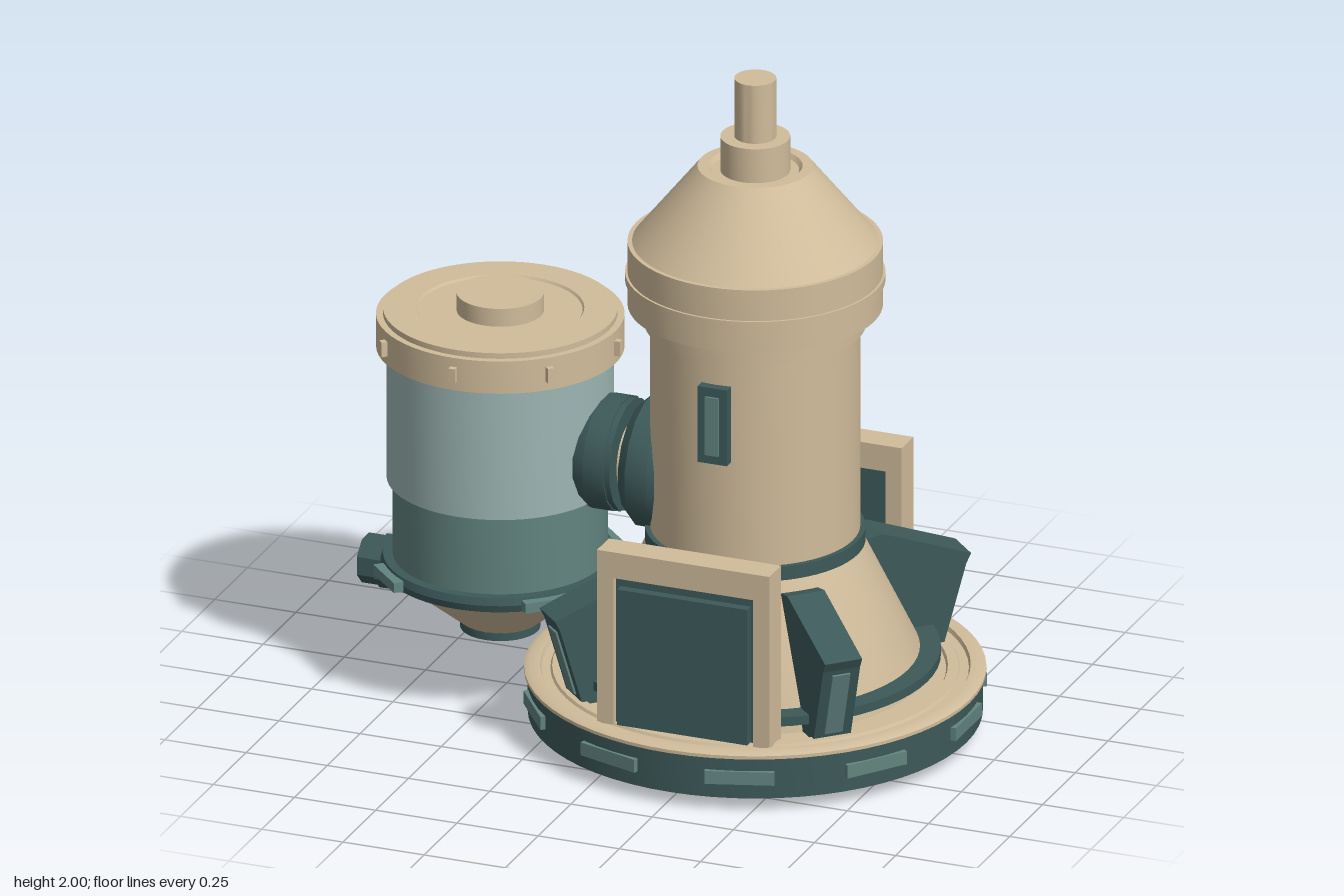
import * as THREE from 'three';
import { toCreasedNormals } from 'three/addons/utils/BufferGeometryUtils.js';

const paint = (name, color) => {
  const m = new THREE.MeshStandardMaterial({ color });
  m.name = name;
  return m;
};

export function createModel() {
  const tan = paint('tan', 0xd0bc9b);
  const dark = paint('darkTeal', 0x3d5959);
  const mid = paint('midTeal', 0x62847f);
  const light = paint('paleTeal', 0x9db6b3);

  const model = new THREE.Group();
  const group = (name, x = 0, parent = model) => {
    const g = new THREE.Group();
    g.name = name;
    g.position.x = x;
    parent.add(g);
    return g;
  };
  const add = (parent, name, geo, mat, x = 0, y = 0, z = 0) => {
    const mesh = new THREE.Mesh(geo, mat);
    mesh.name = name;
    mesh.position.set(x, y, z);
    parent.add(mesh);
    return mesh;
  };
  const box = (parent, name, mat, w, h, d, x, y, z) =>
    add(parent, name, new THREE.BoxGeometry(w, h, d), mat, x, y, z);
  // Turned part from [radius, height] points, listed bottom to top
  const turned = (parent, name, mat, points, sides = 64) =>
    add(parent, name, toCreasedNormals(new THREE.LatheGeometry(
      points.map(([r, y]) => new THREE.Vector2(r, y)), sides), 0.45), mat);
  // Repeats a part around the vertical axis; outward is +z in each copy
  const around = (parent, name, count, start, build) => {
    for (let i = 0; i < count; i++) {
      const g = group(name, 0, parent);
      g.rotation.y = start + i * Math.PI * 2 / count;
      build(g);
    }
  };

  // ---- Round base ----
  const tower = group('tower', 0.265);
  turned(tower, 'baseDrum', dark, [[0, 0.04], [0.65, 0.04], [0.65, 0.165], [0, 0.165]]);
  turned(tower, 'baseDeck', tan, [[0.645, 0.16], [0.66, 0.165], [0.66, 0.175], [0.645, 0.182],
    [0.615, 0.182], [0.61, 0.17], [0.585, 0.17], [0.58, 0.178], [0.55, 0.178], [0.545, 0.168], [0, 0.168]]);
  around(tower, 'rimPlate', 10, Math.PI / 10, g =>
    box(g, 'rimPlateBlock', mid, 0.2, 0.04, 0.035, 0, 0.105, 0.64));
  around(tower, 'foot', 4, Math.PI / 4, g => {
    const foot = add(g, 'footBlock', new THREE.CylinderGeometry(0.1, 0.075, 0.045, 4, 1), dark, 0, 0.0225, 0.43);
    foot.geometry.rotateY(Math.PI / 4);
    foot.scale.z = 0.7;
  });

  // ---- Tower body ----
  turned(tower, 'skirtCone', tan, [[0.485, 0.165], [0.47, 0.24], [0.31, 0.57]]);
  turned(tower, 'skirtRing', dark, [[0.46, 0.21], [0.53, 0.21], [0.53, 0.238], [0.46, 0.238]]);
  turned(tower, 'collar', dark, [[0.29, 0.57], [0.315, 0.57], [0.315, 0.612], [0.29, 0.612]]);
  turned(tower, 'column', tan, [[0.3, 0.6], [0.3, 1.24], [0.317, 1.24], [0.317, 1.285], [0.3, 1.285], [0.3, 1.31]]);
  turned(tower, 'head', tan, [[0.29, 1.3], [0.365, 1.3], [0.365, 1.375], [0.372, 1.375], [0.372, 1.4],
    [0.365, 1.4], [0.365, 1.495], [0.352, 1.495], [0.165, 1.728], [0.135, 1.728], [0.125, 1.715], [0, 1.715]]);
  turned(tower, 'neck', tan, [[0.1, 1.71], [0.1, 1.82], [0, 1.82]], 48);
  turned(tower, 'topPipe', tan, [[0.06, 1.81], [0.06, 2], [0, 2]], 40);

  // Sight window on the front
  box(tower, 'windowFrame', dark, 0.09, 0.235, 0.05, 0, 1.048, 0.303);
  box(tower, 'windowPane', mid, 0.042, 0.18, 0.008, 0, 1.048, 0.331);

  // ---- Front and back doors ----
  around(tower, 'door', 2, 0, g => {
    for (const s of [-1, 1]) box(g, 'doorPost', tan, 0.05, 0.535, 0.09, s * 0.24, 0.4425, 0.505);
    box(g, 'doorLintel', tan, 0.43, 0.08, 0.09, 0, 0.67, 0.505);
    box(g, 'doorLeaf', dark, 0.43, 0.455, 0.05, 0, 0.4025, 0.505);
    box(g, 'doorPanel', dark, 0.4, 0.42, 0.03, 0, 0.39, 0.543);
  });

  // ---- Diagonal braces ----
  const braceShape = new THREE.Shape([[0.32, 0.535], [0.37, 0.545], [0.645, 0.44], [0.63, 0.41],
    [0.56, 0.17], [0.44, 0.17], [0.44, 0.27]].map(p => new THREE.Vector2(...p)));
  const braceGeo = new THREE.ExtrudeGeometry(braceShape, { depth: 0.115, bevelEnabled: false });
  braceGeo.translate(0, 0, -0.0575);
  braceGeo.rotateY(-Math.PI / 2);
  around(tower, 'brace', 4, Math.PI / 4, g => {
    add(g, 'braceBody', braceGeo, dark);
    const strip = box(g, 'braceStrip', mid, 0.055, 0.21, 0.008, 0, 0.293, 0.598);
    strip.rotation.x = Math.atan2(0.07, 0.24);
  });

  // ---- Side tank ----
  const tank = group('tank', -0.52);
  turned(tank, 'lid', tan, [[0.3, 1.045], [0.355, 1.045], [0.355, 1.145], [0.335, 1.145], [0.335, 1.162],
    [0.24, 1.162], [0.235, 1.155], [0, 1.155]]);
  turned(tank, 'lidKnob', tan, [[0.125, 1.15], [0.125, 1.21], [0, 1.21]], 48);
  around(tank, 'lidBolt', 8, Math.PI / 2, g =>
    box(g, 'lidBoltBlock', tan, 0.02, 0.045, 0.03, 0, 1.095, 0.357));
  turned(tank, 'upperShell', light, [[0.3, 0.64], [0.325, 0.64], [0.325, 1.05]]);
  turned(tank, 'lowerShell', mid, [[0.307, 0.39], [0.307, 0.645]]);
  turned(tank, 'tankFlange', dark, [[0.28, 0.358], [0.335, 0.358], [0.342, 0.38], [0.335, 0.402], [0.3, 0.402]]);
  around(tank, 'flangePlate', 4, Math.PI / 4, g =>
    box(g, 'flangePlateBlock', mid, 0.15, 0.03, 0.03, 0, 0.38, 0.347));
  turned(tank, 'hopper', tan, [[0.11, 0.195], [0.315, 0.36]], 24);
  turned(tank, 'hopperCap', dark, [[0, 0.175], [0.115, 0.175], [0.115, 0.2], [0, 0.2]], 32);

  // Parts lying along x, given by both ends and their radii
  const across = (parent, name, mat, x0, x1, r0, r1, y, sides) => {
    const geo = new THREE.CylinderGeometry(r1, r0, x1 - x0, sides);
    geo.rotateY(Math.PI / sides);
    geo.rotateZ(-Math.PI / 2);
    return add(parent, name, toCreasedNormals(geo, 0.45), mat, (x0 + x1) / 2, y, 0);
  };

  // Side outlet
  const outlet = group('outlet');
  across(outlet, 'outletPipe', tan, -0.86, -0.7, 0.028, 0.028, 0.295, 24);
  across(outlet, 'outletCap', dark, -0.935, -0.875, 0.072, 0.072, 0.32, 8);
  across(outlet, 'outletRing', dark, -0.88, -0.845, 0.078, 0.078, 0.32, 8);

  // ---- Duct joining tank and tower ----
  const duct = group('duct');
  across(duct, 'tankCollar', dark, -0.26, -0.2, 0.15, 0.17, 0.77, 16);
  across(duct, 'tankDuctFlange', dark, -0.2, -0.135, 0.17, 0.17, 0.77, 16);
  across(duct, 'tankDuctLip', dark, -0.135, -0.118, 0.165, 0.165, 0.77, 16);
  across(duct, 'ductNeck', tan, -0.13, -0.06, 0.11, 0.11, 0.765, 32);
  across(duct, 'towerDuctLip', dark, -0.092, -0.06, 0.165, 0.195, 0.765, 16);
  across(duct, 'towerDuctFlange', dark, -0.06, 0.005, 0.195, 0.195, 0.765, 16);
  across(duct, 'towerCollar', dark, 0.005, 0.07, 0.195, 0.17, 0.765, 16);

  return model;
}
